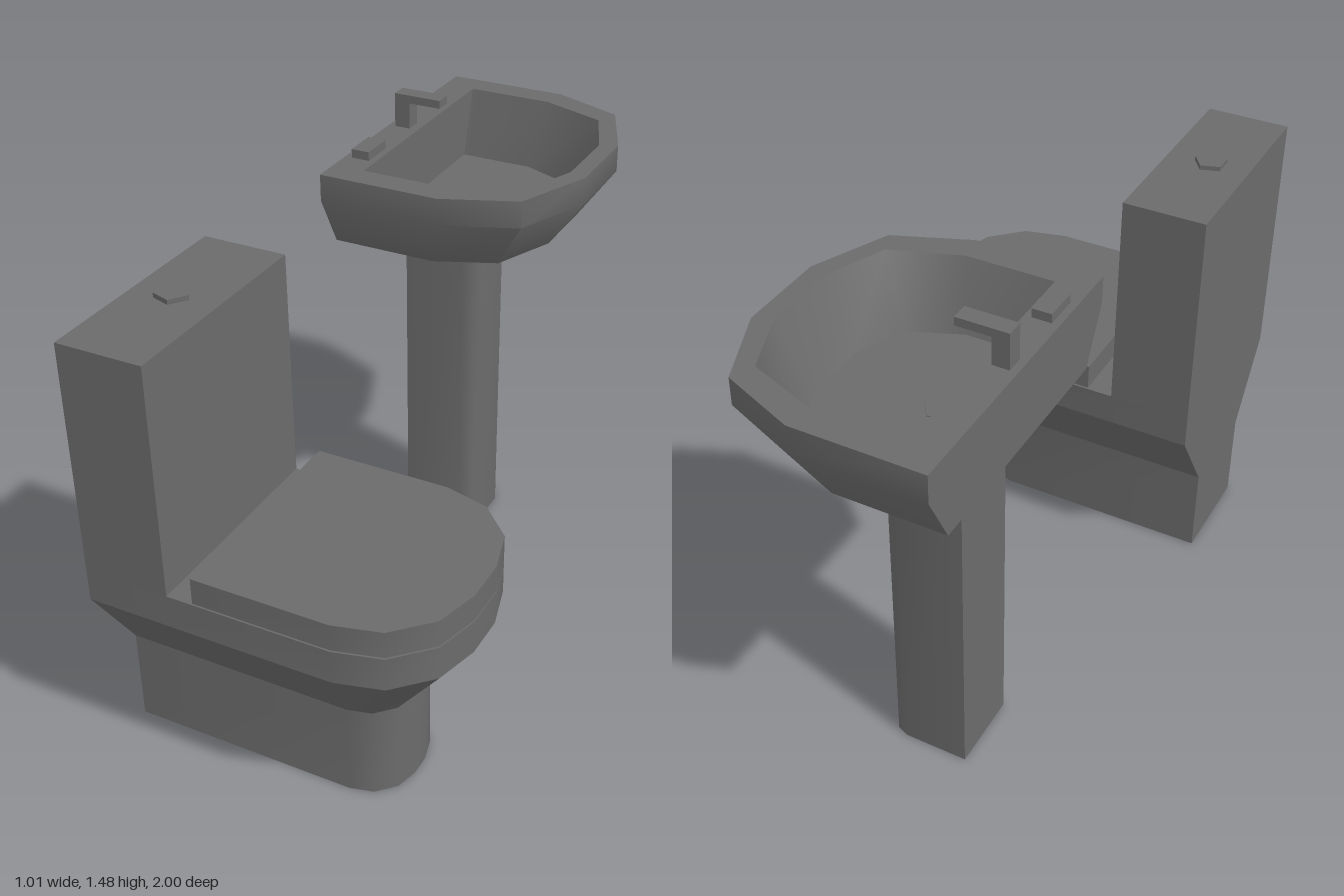
import * as THREE from 'three';
import { toCreasedNormals } from 'three/addons/utils/BufferGeometryUtils.js';

const material = new THREE.MeshStandardMaterial({ color: 0x6b6b6b });

// Closed solid through stacked outlines; each outline is half a plan,
// [x, halfWidth] from back to front, mirrored across z = 0.
function loft(sections, crease) {
  const rings = sections.map(({ y, half }) => [
    ...half.map(([x, w]) => [x, y, w]),
    ...[...half].reverse().map(([x, w]) => [x, y, -w]),
  ]);
  const n = rings[0].length;
  const last = (rings.length - 1) * n;
  const index = [];
  for (let r = 0; r < rings.length - 1; r++) {
    for (let i = 0; i < n; i++) {
      const a = r * n + i, b = r * n + (i + 1) % n;
      index.push(a, b, b + n, a, b + n, a + n);
    }
  }
  for (let i = 1; i < n - 1; i++) {
    index.push(0, i + 1, i, last, last + i, last + i + 1);
  }
  const geometry = new THREE.BufferGeometry();
  geometry.setAttribute('position', new THREE.Float32BufferAttribute(rings.flat(2), 3));
  geometry.setIndex(index);
  return toCreasedNormals(geometry, crease);
}

function add(parent, name, geometry, x = 0, y = 0, z = 0) {
  const mesh = new THREE.Mesh(geometry, material);
  mesh.name = name;
  mesh.position.set(x, y, z);
  parent.add(mesh);
  return mesh;
}

// Box given by its limits on each axis
function addBox(parent, name, [x0, x1], [y0, y1], [z0, z1]) {
  const geometry = new THREE.BoxGeometry(x1 - x0, y1 - y0, z1 - z0);
  return add(parent, name, geometry, (x0 + x1) / 2, (y0 + y1) / 2, (z0 + z1) / 2);
}

// Five-sided disc with one corner pointing to +x
function addDisc(parent, name, x, y, z, height) {
  const geometry = new THREE.CylinderGeometry(0.05, 0.05, height, 5).toNonIndexed();
  geometry.computeVertexNormals();
  geometry.rotateY(Math.PI / 2);
  return add(parent, name, geometry, x, y + height / 2, z);
}

// Straight sides with a rounded nose; scale shrinks the nose and the width
function bowlPlan(back, noseStart, scale) {
  const nose = [[0, 0.33], [0.135, 0.295], [0.235, 0.195], [0.27, 0.065]];
  return [[back, 0.33 * scale], ...nose.map(([x, w]) => [noseStart + x * scale, w * scale])];
}

function createToilet() {
  const toilet = new THREE.Group();
  toilet.name = 'toilet';
  toilet.position.z = 0.67;

  const foot = bowlPlan(-0.505, 0.182, 0.5);
  const rim = bowlPlan(-0.505, 0.236, 1);
  add(toilet, 'bowl', loft([
    { y: 0, half: foot },
    { y: 0.29, half: foot },
    { y: 0.54, half: rim },
    { y: 0.64, half: rim },
  ], 0.57));

  const lid = bowlPlan(-0.17, 0.236, 1);
  add(toilet, 'lid', loft([{ y: 0.645, half: lid }, { y: 0.725, half: lid }], 0.57));

  addBox(toilet, 'cistern', [-0.505, -0.25], [0.64, 1.33], [-0.33, 0.33]);
  addDisc(toilet, 'flushButton', -0.385, 1.33, 0, 0.014);
  return toilet;
}

function createWashbasin() {
  const washbasin = new THREE.Group();
  washbasin.name = 'washbasin';
  washbasin.position.z = -0.545;

  // Pedestal with rounded front corners
  const column = [[-0.28, 0.12], [-0.085, 0.12], [-0.05, 0.106], [-0.035, 0.07]];
  add(washbasin, 'pedestal', loft([{ y: 0, half: column }, { y: 1.125, half: column }], 0.85));

  // Outer shell, flat rim and hollow in one continuous skin
  const outer = [[-0.387, 0.457], [-0.01, 0.457], [0.212, 0.367], [0.31, 0.135]];
  add(washbasin, 'basin', loft([
    { y: 1.123, half: [[-0.387, 0.373], [-0.065, 0.373], [0.115, 0.299], [0.195, 0.11]] },
    { y: 1.285, half: outer },
    { y: 1.368, half: outer },
    { y: 1.368, half: [[-0.287, 0.375], [-0.022, 0.375], [0.182, 0.3], [0.257, 0.113]] },
    { y: 1.16, half: [[-0.287, 0.315], [-0.055, 0.315], [0.1, 0.25], [0.163, 0.1]] },
  ], 0.85));
  addDisc(washbasin, 'drain', -0.157, 1.16, 0, 0.004);

  // Tap and soap block on the back ledge
  addBox(washbasin, 'tapPost', [-0.365, -0.315], [1.365, 1.45], [-0.026, 0.026]);
  addBox(washbasin, 'tapSpout', [-0.365, -0.213], [1.45, 1.475], [-0.026, 0.026]);
  addBox(washbasin, 'soapBlock', [-0.365, -0.308], [1.365, 1.395], [0.2, 0.305]);
  return washbasin;
}

export function createModel() {
  const model = new THREE.Group();
  model.name = 'bathroomSet';
  model.add(createToilet(), createWashbasin());
  return model;
}
